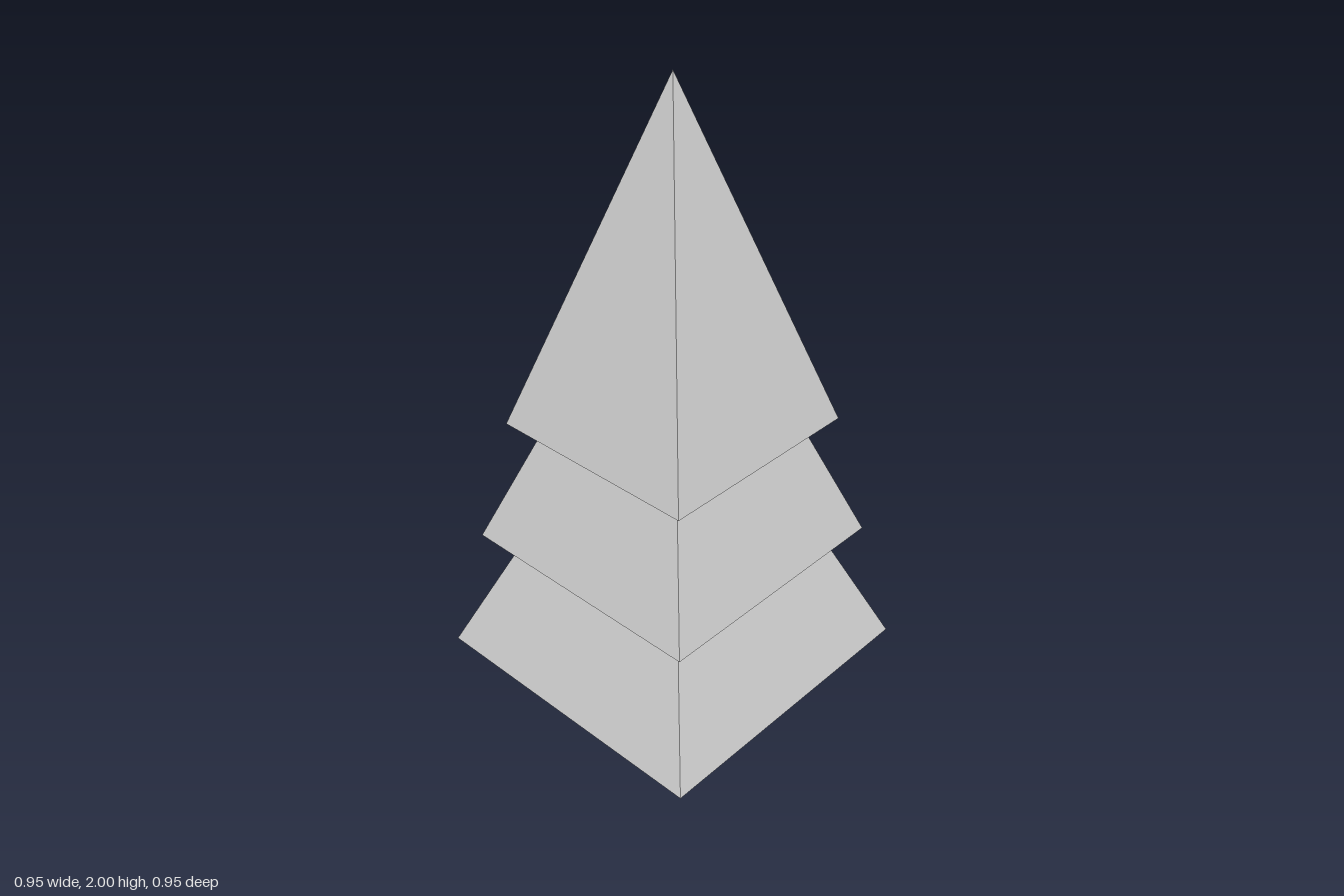
import * as THREE from 'three';

const material = new THREE.MeshStandardMaterial({ color: 0xcccccc, flatShading: true });

// Square-section solid from a profile of [half width, height], bottom to top
function squareSolid(name, profile) {
  const points = profile.map(([half, y]) => new THREE.Vector2(half * Math.SQRT2, y));
  const lathe = new THREE.LatheGeometry(points, 4, Math.PI / 4);
  const geometry = lathe.toNonIndexed();
  geometry.computeVertexNormals();
  const mesh = new THREE.Mesh(geometry, material);
  mesh.name = name;
  return mesh;
}

export function createModel() {
  const tree = new THREE.Group();
  tree.name = 'tree';
  tree.add(
    // Tapered trunk with a closed base
    squareSolid('trunk', [[0, 0], [0.213, 0], [0.195, 0.197]]),
    // Foliage tiers: underside from the part below, then the sloping sides
    squareSolid('lowerFoliage', [[0.195, 0.197], [0.473, 0.197], [0.306, 0.588]]),
    squareSolid('middleFoliage', [[0.306, 0.588], [0.399, 0.597], [0.26, 0.96]]),
    squareSolid('topFoliage', [[0.26, 0.96], [0.331, 0.987], [0, 2]]),
  );
  return tree;
}
